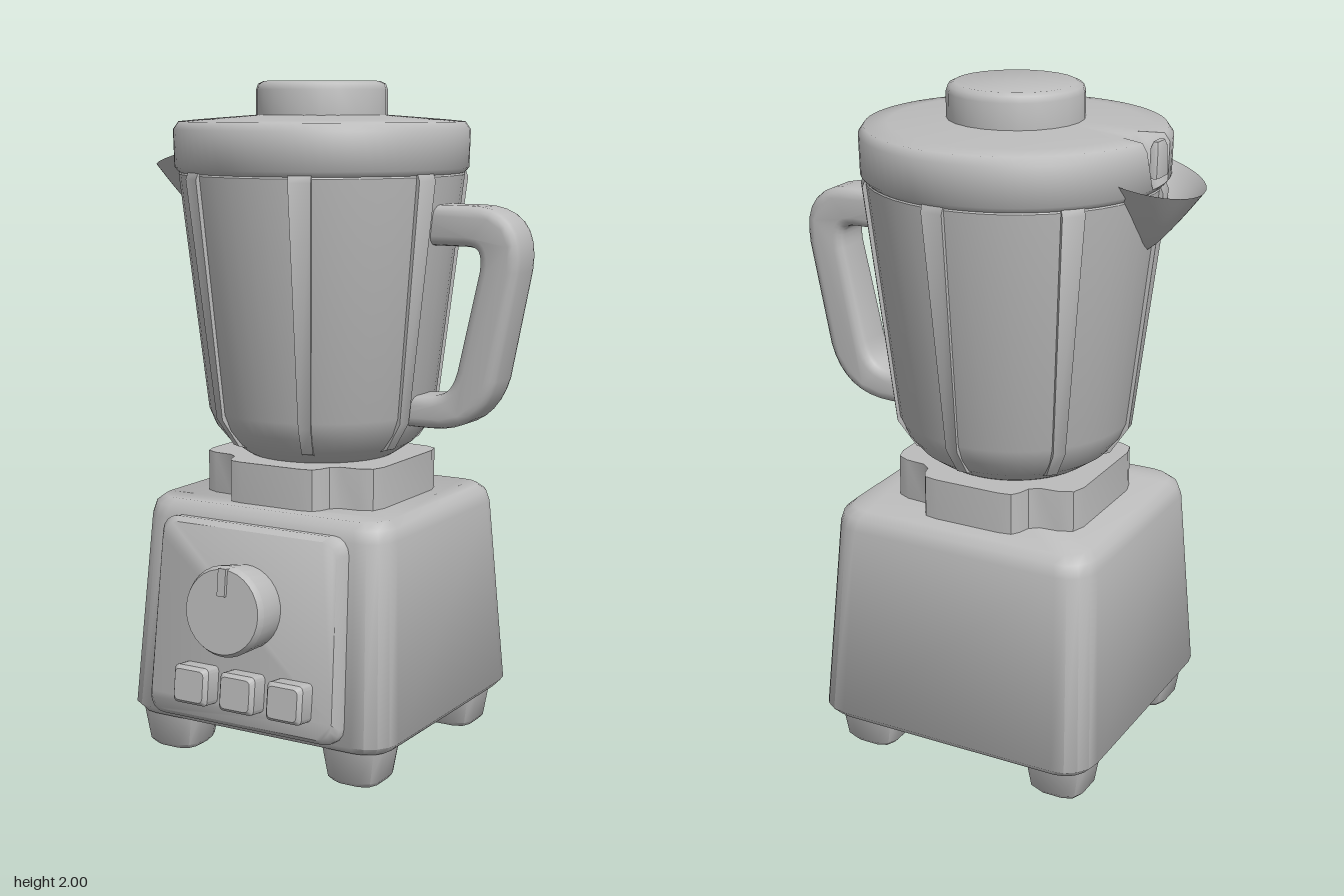
import * as THREE from 'three';
import { toCreasedNormals } from 'three/addons/utils/BufferGeometryUtils.js';
import { ParametricGeometry } from 'three/addons/geometries/ParametricGeometry.js';

const CX = -0.055, CZ = -0.06; // shared vertical axis of base and jug

// Loft of rounded rectangles: sections are [y, halfX, halfZ, cornerRadius]
function loft(sections, steps = 4) {
  const pos = [], idx = [], n = 4 * (steps + 1);
  for (const [y, hx, hz, r] of sections) {
    for (let c = 0; c < 4; c++) {
      const sx = c === 0 || c === 3 ? 1 : -1, sz = c < 2 ? 1 : -1;
      for (let i = 0; i <= steps; i++) {
        const a = (c + i / steps) * Math.PI / 2;
        pos.push(sx * (hx - r) + r * Math.cos(a), y, sz * (hz - r) + r * Math.sin(a));
      }
    }
  }
  for (let s = 0; s < sections.length - 1; s++) {
    for (let i = 0; i < n; i++) {
      const a = s * n + i, b = s * n + (i + 1) % n;
      idx.push(a, a + n, b, b, a + n, b + n);
    }
  }
  const top = (sections.length - 1) * n;
  for (let i = 1; i < n - 1; i++) idx.push(0, i, i + 1, top, top + i + 1, top + i);
  const g = new THREE.BufferGeometry();
  g.setAttribute('position', new THREE.Float32BufferAttribute(pos, 3));
  g.setIndex(idx);
  return g;
}

const lathe = (pts, seg = 48) => new THREE.LatheGeometry(pts.map(p => new THREE.Vector2(...p)), seg);

export function createModel() {
  const model = new THREE.Group();
  model.name = 'blender';
  const grey = new THREE.MeshStandardMaterial({ color: 0xbcbcbc, side: THREE.DoubleSide });
  grey.name = 'grey';

  function add(name, geo, x = 0, y = 0, z = 0, parent = model, crease = 0.6) {
    const mesh = new THREE.Mesh(toCreasedNormals(geo, crease), grey);
    mesh.name = name;
    mesh.position.set(x, y, z);
    parent.add(mesh);
    return mesh;
  }

  // Motor base
  add('base', loft([
    [0.11, 0.425, 0.415, 0.08], [0.135, 0.449, 0.439, 0.1], [0.715, 0.416, 0.38, 0.09],
    [0.75, 0.408, 0.37, 0.09], [0.77, 0.385, 0.347, 0.08],
  ]), CX + 0.002, 0, -0.066, model, 0.9);

  // Feet
  const footGeo = loft([[0, 0.07, 0.07, 0.04], [0.015, 0.083, 0.083, 0.045], [0.12, 0.1, 0.092, 0.045]], 2);
  for (const sx of [-1, 1]) for (const sz of [-1, 1]) {
    add('foot', footGeo, CX + sx * 0.315, 0, -0.053 + sz * 0.302, model, 0.9);
  }

  // Tilted control panel: local +z is the panel normal
  const controls = new THREE.Group();
  controls.name = 'controls';
  controls.position.set(CX, 0.432, 0.333);
  controls.rotation.x = -0.11;
  model.add(controls);
  const facing = g => g.rotateX(Math.PI / 2);
  const panel = facing(loft([[-0.03, 0.32, 0.298, 0.05], [0.035, 0.32, 0.298, 0.05], [0.055, 0.305, 0.283, 0.05]]));
  const pp = panel.attributes.position;
  for (let i = 0; i < pp.count; i++) pp.setX(i, pp.getX(i) * (1 - 0.09 * pp.getY(i)));
  add('controlPanel', panel, 0, 0, 0, controls, 0.9);
  add('knob', facing(lathe([[0, 0.03], [0.122, 0.03], [0.132, 0.155], [0.122, 0.173], [0, 0.173]], 32)), 0, 0.063, 0, controls);
  add('knobPointer', new THREE.BoxGeometry(0.026, 0.08, 0.04), 0, 0.149, 0.163, controls);
  const button = facing(loft([[0.03, 0.059, 0.056, 0.014], [0.108, 0.059, 0.056, 0.014], [0.122, 0.049, 0.046, 0.014]], 3));
  for (const i of [-1, 0, 1]) add('button', button, 0.025 + i * 0.16, -0.18, 0, controls);

  // Cross-shaped collar with rounded lobes between base and jug
  const quarter = [[0.3, 0.15], [0.287, 0.192], [0.25, 0.21], [0.19, 0.215], [0.165, 0.235], [0.155, 0.27], [0.14, 0.293], [0.1, 0.3]];
  const mirrored = quarter.map(([x, z]) => [-x, z]).reverse();
  const half = [...quarter, ...mirrored];
  const outline = [...half, ...half.map(([x, z]) => [-x, -z])].map(p => new THREE.Vector2(...p));
  const collar = new THREE.ExtrudeGeometry(new THREE.Shape(outline), { depth: 0.133, bevelEnabled: false });
  add('collar', collar.rotateX(-Math.PI / 2), CX, 0.76, CZ);

  // Jug
  add('jug', lathe([
    [0, 0.88], [0.2, 0.88], [0.235, 0.9], [0.285, 0.935], [0.322, 0.98], [0.343, 1.03], [0.426, 1.73], [0.41, 1.76], [0, 1.76],
  ]), CX, 0, CZ);

  // Seven slightly raised ribs, narrowing downwards
  const ribShape = new THREE.Shape([
    [0.24, 0.915], [0.295, 0.932], [0.35, 1.015], [0.435, 1.72], [0.425, 1.745], [0.39, 1.745], [0.3, 1.0],
  ].map(p => new THREE.Vector2(...p)));
  const rib = new THREE.ExtrudeGeometry(ribShape, { depth: 0.066, bevelEnabled: false }).translate(0, 0, -0.033);
  const rp = rib.attributes.position;
  for (let i = 0; i < rp.count; i++) rp.setZ(i, rp.getZ(i) * (0.5 + 0.5 * (rp.getY(i) - 0.92) / 0.82));
  for (let i = 0; i < 7; i++) {
    const angle = -29 + i * 360 / 7;
    add('rib', rib, CX, 0, CZ).rotation.y = THREE.MathUtils.degToRad(angle - 90);
  }

  // Lid, with a small notch pressed in over the spout
  const lid = lathe([
    [0, 1.735], [0.425, 1.735], [0.438, 1.75], [0.441, 1.86], [0.425, 1.883], [0.36, 1.889], [0.19, 1.902], [0, 1.905],
  ], 72);
  const lp = lid.attributes.position;
  for (let i = 0; i < lp.count; i++) {
    const x = lp.getX(i);
    if (x < -0.4 && Math.abs(lp.getZ(i)) < 0.06 && lp.getY(i) > 1.8) {
      lp.setX(i, x * 0.9);
      lp.setY(i, lp.getY(i) - 0.02);
    }
  }
  add('lid', lid, CX, 0, CZ, model, 1);
  add('lidTab', loft([[1.78, 0.014, 0.04, 0.01], [1.86, 0.014, 0.035, 0.01], [1.878, 0.008, 0.025, 0.006]], 2), -0.49, 0, CZ);
  add('cap', lathe([[0.195, 1.89], [0.195, 1.975], [0.189, 1.992], [0.172, 2], [0, 2]], 24), CX, 0, CZ, model, 1.2);

  // Pouring spout: open half bowl
  const spout = new ParametricGeometry((u, v, out) => {
    const a = (u - 0.5) * Math.PI, t = Math.pow(v, 0.85);
    out.set(
      THREE.MathUtils.lerp(-0.465, -0.435 - 0.183 * Math.cos(a), t),
      THREE.MathUtils.lerp(1.57, 1.79 - 0.048 * Math.cos(a), v),
      CZ + 0.182 * Math.sin(a) * t);
  }, 24, 8);
  add('spout', spout, 0, 0, 0, model, 1.2);

  // Handle: bevelled loop in the front plane
  const b = 0.028;
  const h = new THREE.Shape();
  h.moveTo(0.29, 1.65 - b);
  h.lineTo(0.46, 1.65 - b);
  h.bezierCurveTo(0.555, 1.65 - b, 0.602, 1.58, 0.586, 1.47);
  h.lineTo(0.524, 1.16);
  h.bezierCurveTo(0.497, 1.07, 0.44, 1 + b, 0.34, 1 + b);
  h.lineTo(0.22, 1 + b);
  h.lineTo(0.22, 1.06);
  h.lineTo(0.33, 1.068);
  h.bezierCurveTo(0.4, 1.07, 0.435, 1.1, 0.454, 1.17);
  h.lineTo(0.52, 1.46);
  h.bezierCurveTo(0.53, 1.53, 0.51, 1.562, 0.45, 1.562);
  h.lineTo(0.29, 1.562);
  h.closePath();
  const handle = new THREE.ExtrudeGeometry(h, {
    depth: 0.14 - 2 * b, bevelThickness: b, bevelSize: b, bevelSegments: 3, curveSegments: 8,
  });
  add('handle', handle, 0, 0, -0.133 + b);

  return model;
}
